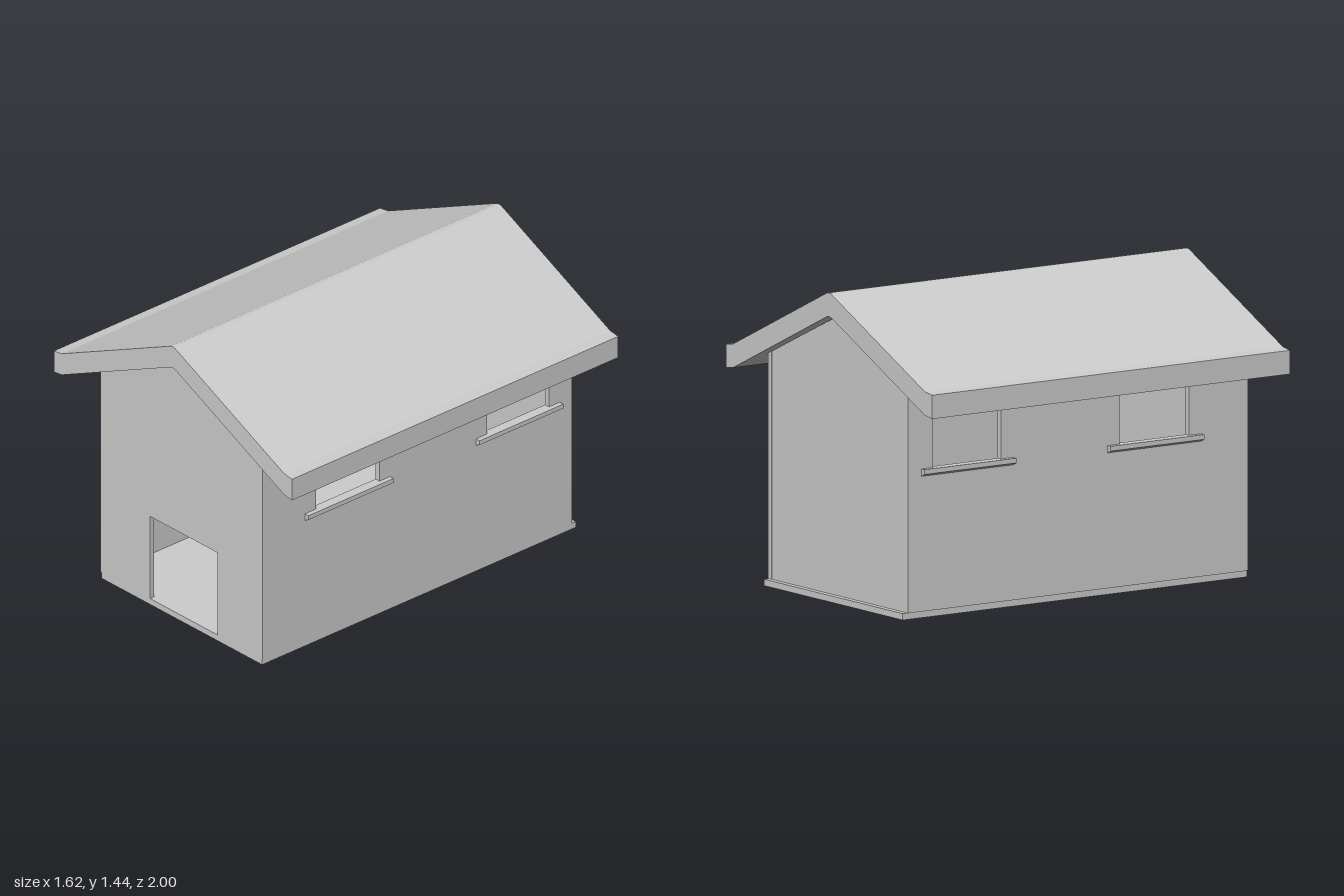
import * as THREE from 'three';

const material = new THREE.MeshStandardMaterial({ color: 0xcccccc, flatShading: true });

// Closed shape or hole from a short list of corners
const outline = (points, Type = THREE.Shape) => new Type(points.map(([x, y]) => new THREE.Vector2(x, y)));
const rect = (x0, x1, y0, y1) => [[x0, y0], [x1, y0], [x1, y1], [x0, y1]];

export function createModel() {
  const house = new THREE.Group();
  house.name = 'smallHouse';

  const add = (name, geometry) => {
    const mesh = new THREE.Mesh(geometry, material);
    mesh.name = name;
    house.add(mesh);
    return mesh;
  };
  // Profile drawn in x, y and extruded from z0 to z1
  const extrudeZ = (name, shape, z0, z1) => {
    const geometry = new THREE.ExtrudeGeometry(shape, { depth: z1 - z0, bevelEnabled: false });
    return add(name, geometry.translate(0, 0, z0));
  };
  // Profile drawn in -z, y and extruded from x0 to x1
  const extrudeX = (name, shape, x0, x1) => {
    const geometry = new THREE.ExtrudeGeometry(shape, { depth: x1 - x0, bevelEnabled: false });
    return add(name, geometry.rotateY(Math.PI / 2).translate(x0, 0, 0));
  };

  const left = 0.56, right = -0.535, front = 0.96, back = -0.94, wall = 0.025, floorTop = 0.03;

  // Floor slab, with a small ledge behind the back wall
  extrudeZ('floor', outline(rect(right + 0.004, left, 0, floorTop)), -0.965, front - 0.002);

  // Gable walls; the front one has the doorway
  const gable = () => outline([[right, floorTop], [left, floorTop], [left, 1.075], [0, 1.332], [right, 1.087]]);
  const frontShape = gable();
  frontShape.holes.push(outline(rect(-0.2, 0.26, floorTop + 0.002, 0.46), THREE.Path));
  extrudeZ('frontWall', frontShape, front - wall, front);
  extrudeZ('backWall', gable(), back + 0.003, back + wall);

  // Side walls with two windows each; spans are given along z
  const windows = [[0.24, 0.63], [-0.8, -0.42]];
  for (const [side, x0, x1] of [['left', left - wall, left + 0.002], ['right', right - 0.002, right + wall]]) {
    const shape = outline(rect(-front + 0.002, -back, floorTop, 1.09));
    for (const [z0, z1] of windows) shape.holes.push(outline(rect(-z1, -z0, 0.69, 1.02), THREE.Path));
    extrudeX(side + 'Wall', shape, x0, x1);

    // Sills with a chamfered lower outer edge
    const outer = side === 'left' ? left : right;
    const dir = Math.sign(outer);
    const profile = [[-wall, 0.69], [0.026, 0.69], [0.026, 0.668], [0, 0.655], [-wall, 0.655]]
      .map(([x, y]) => [outer + dir * x, y]);
    for (const [z0, z1] of windows) extrudeZ(side + 'WindowSill', outline(profile), z0 - 0.065, z1 + 0.068);
  }

  // Gabled roof slab with slightly flattened eaves
  const half = [[0, 1.44], [0.015, 1.438], [0.755, 1.093], [0.81, 1.085]];
  const top = [...half.slice(1).reverse().map(([x, y]) => [-x, y]), ...half];
  const under = top.map(([x, y]) => [x, y - 0.11]).reverse();
  extrudeZ('roof', outline([...top, ...under]), -1, 1);

  return house;
}
